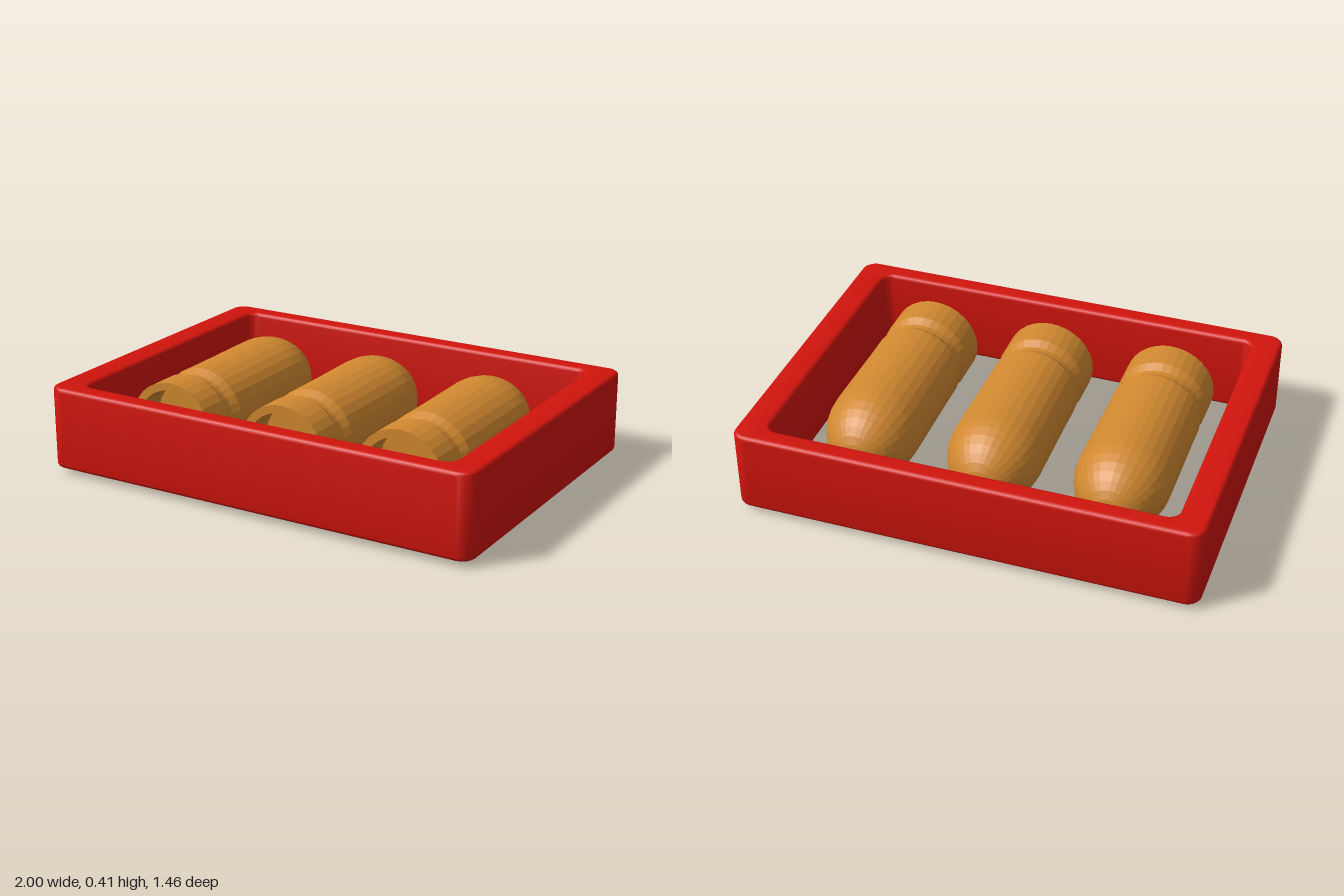
import * as THREE from 'three';
import { toCreasedNormals } from 'three/addons/utils/BufferGeometryUtils.js';

const BEVEL = 0.018;

// Traces a rounded rectangle of half sizes w, d into a shape or path
function roundedRect(path, w, d, r) {
  path.moveTo(w, -d + r);
  path.lineTo(w, d - r);
  path.absarc(w - r, d - r, r, 0, Math.PI / 2);
  path.absarc(-w + r, d - r, r, Math.PI / 2, Math.PI);
  path.absarc(-w + r, -d + r, r, Math.PI, Math.PI * 1.5);
  path.absarc(w - r, -d + r, r, Math.PI * 1.5, Math.PI * 2);
  return path;
}

function createFrame() {
  const shape = roundedRect(new THREE.Shape(), 1 - BEVEL, 0.73 - BEVEL, 0.045);
  shape.holes.push(roundedRect(new THREE.Path(), 0.875 + BEVEL, 0.64 + BEVEL, 0.07));
  const height = 0.362;
  const geometry = new THREE.ExtrudeGeometry(shape, {
    depth: height - 2 * BEVEL, bevelThickness: BEVEL, bevelSize: BEVEL,
    bevelSegments: 4, curveSegments: 8,
  });
  geometry.rotateX(-Math.PI / 2).translate(0, 0.028 + BEVEL, 0);
  const frame = new THREE.Mesh(toCreasedNormals(geometry, Math.PI / 5),
    new THREE.MeshStandardMaterial({ color: 0xd0140c }));
  frame.name = 'frame';
  return frame;
}

// Lathe profile as (radius, z): recessed base, crimped neck, straight body, domed end
function createCapsuleGeometry() {
  const points = [
    [0, 0.33], [0.165, 0.33], [0.165, 0.47], [0.2, 0.47], [0.2, 0.33],
    [0.181, 0.295], [0.18, 0.27], [0.2, 0.232], [0.2, 0.1],
  ].map(([r, z]) => new THREE.Vector2(r, -z));
  const steps = 9;
  for (let i = 0; i <= steps; i++) {
    const a = (i / steps) * Math.PI / 2;
    points.push(new THREE.Vector2(0.204 * Math.cos(a), 0.25 + 0.255 * Math.sin(a)));
  }
  // Lathe axis y becomes -z, so the dome points to the back
  return new THREE.LatheGeometry(points, 32).rotateX(-Math.PI / 2);
}

export function createModel() {
  const model = new THREE.Group();
  model.name = 'trayWithCapsules';
  model.add(createFrame());

  const geometry = createCapsuleGeometry();
  const material = new THREE.MeshStandardMaterial({
    color: 0xd08830, flatShading: true, side: THREE.DoubleSide,
  });
  [['right', -0.552], ['middle', 0.004], ['left', 0.556]].forEach(([side, x]) => {
    const capsule = new THREE.Mesh(geometry, material);
    capsule.name = `${side}Capsule`;
    capsule.position.set(x, 0.206, 0);
    model.add(capsule);
  });
  return model;
}
